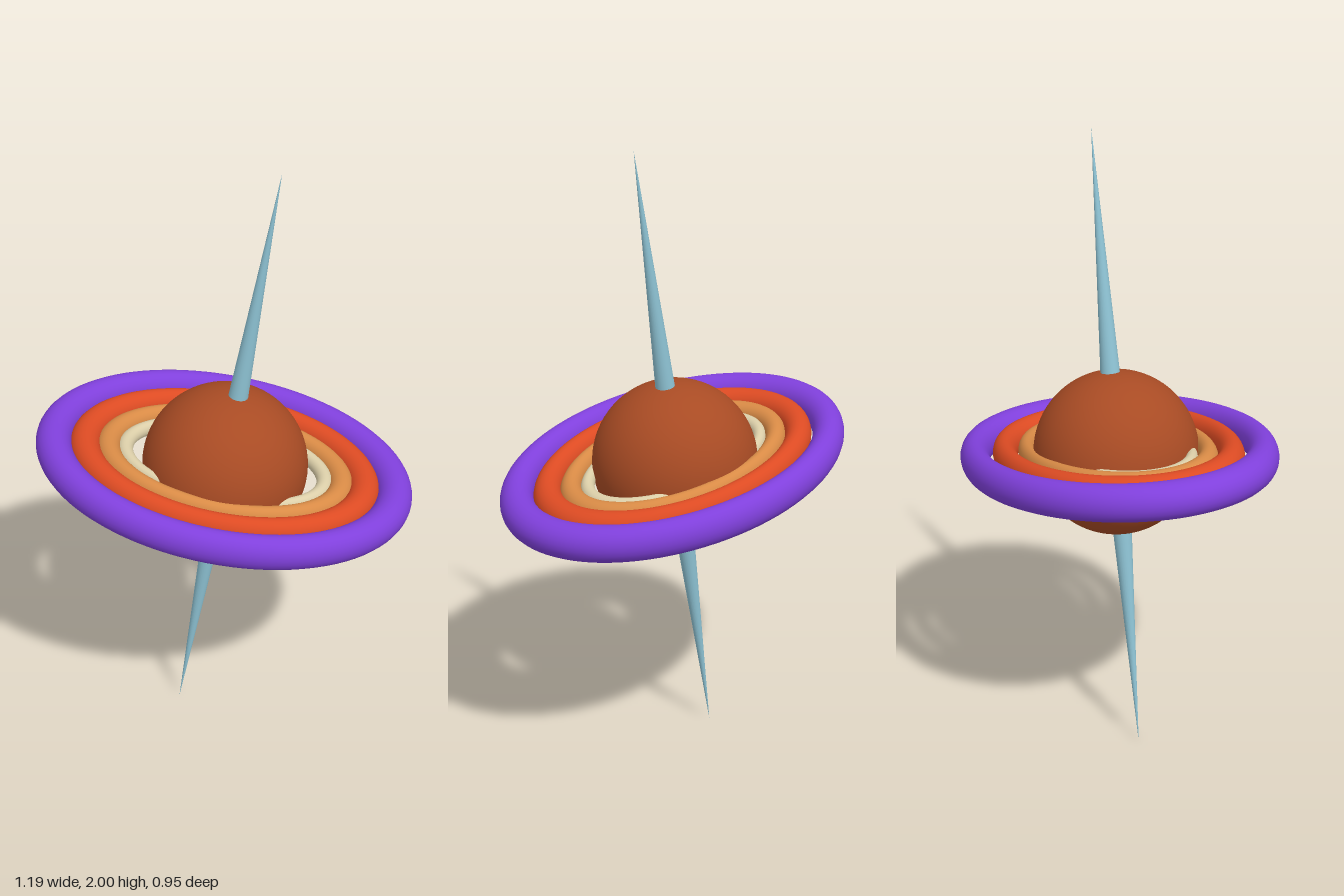
import * as THREE from 'three';

const TILT = -0.16;

function flat(name, color) {
  const m = new THREE.MeshStandardMaterial({ color });
  m.name = name;
  return m;
}

export function createModel() {
  const model = new THREE.Group();
  model.name = 'ringedPlanet';
  model.position.y = 1;
  model.rotation.z = TILT;

  const add = (name, geometry, material) => {
    const mesh = new THREE.Mesh(geometry, material);
    mesh.name = name;
    model.add(mesh);
    return mesh;
  };

  // Planet body
  add('planet', new THREE.SphereGeometry(0.262, 64, 40), flat('rust brown', 0xa84b24));

  // Concentric oval rings: radius, tube radius, depth scale
  const rings = [
    ['outerRing', 0.5455, 0.0565, 0.785, flat('purple', 0x8040dc)],
    ['redRing', 0.447, 0.0485, 0.743, flat('orange red', 0xdd4b23)],
    ['tanRing', 0.373, 0.038, 0.695, flat('tan orange', 0xd98b46)],
    ['innerRing', 0.32, 0.025, 0.645, flat('cream', 0xdccfa9)],
  ];
  for (const [name, radius, tube, depth, material] of rings) {
    const geometry = new THREE.TorusGeometry(radius, tube, 24, 96);
    geometry.rotateX(Math.PI / 2).scale(1, 1, depth);
    add(name, geometry, material);
  }

  // Tapered pole spikes, rooted inside the planet
  const blue = flat('pale blue', 0x8ec3d4);
  const tip = 1 / Math.cos(TILT);
  const root = 0.2;
  for (const [name, turn] of [['topSpike', 0], ['bottomSpike', Math.PI]]) {
    const geometry = new THREE.ConeGeometry(0.033, tip - root, 24);
    geometry.translate(0, (tip + root) / 2, 0).rotateZ(turn);
    add(name, geometry, blue);
  }

  const group = new THREE.Group();
  group.name = 'model';
  group.add(model);
  return group;
}
